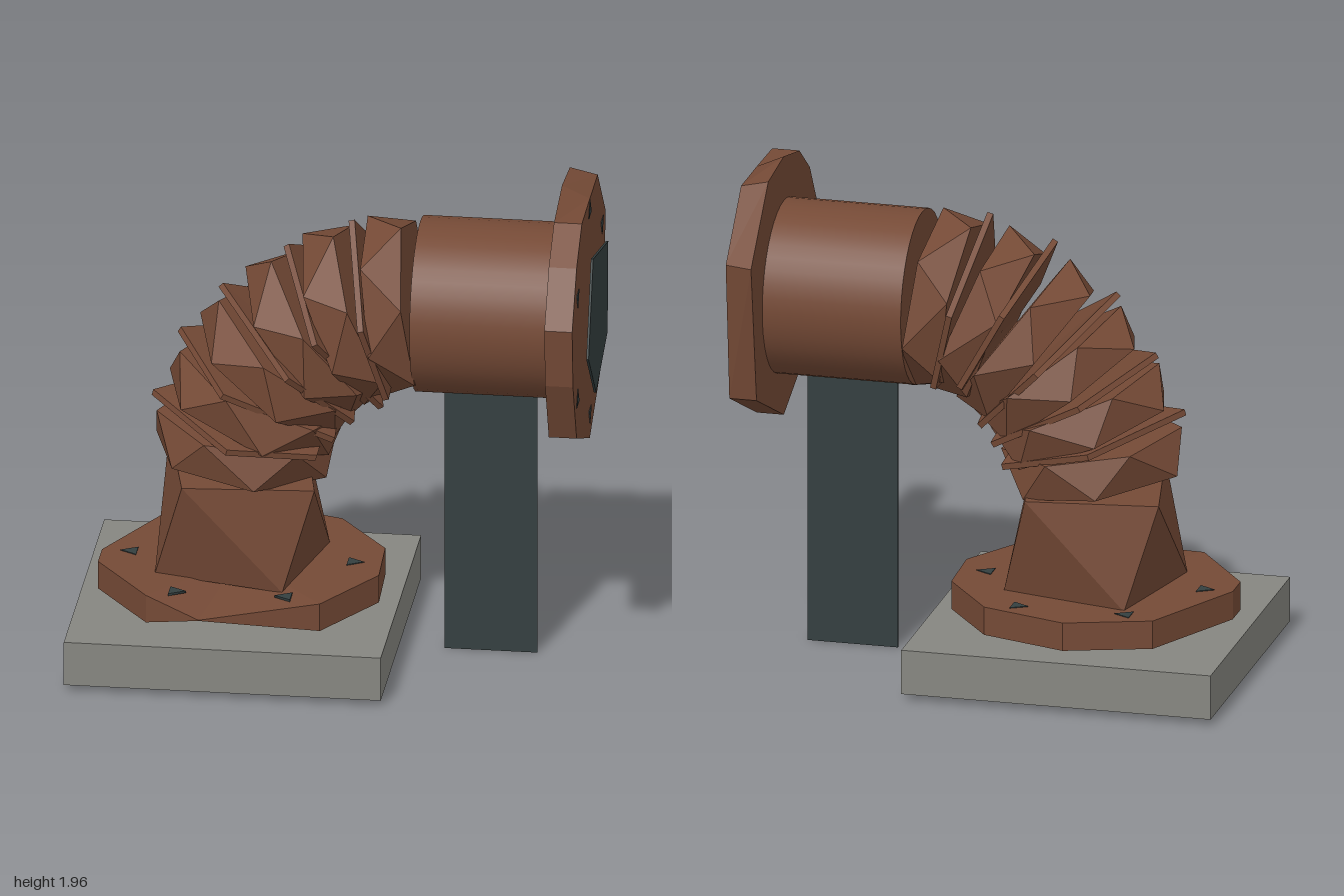
import * as THREE from 'three';

const rust = new THREE.MeshStandardMaterial({ color: 0x754a36 });
rust.name = 'rust brown';
const stone = new THREE.MeshStandardMaterial({ color: 0x868680 });
stone.name = 'concrete grey';
const iron = new THREE.MeshStandardMaterial({ color: 0x343f40 });
iron.name = 'dark iron';

let seed = 7;
const rand = () => (seed = (seed * 16807) % 2147483647) / 2147483647;

// Faceted solid between two rings of [x, z, optional y offset], in order from +x to +z.
// Its diagonals run so that an upper ring turned back towards +x gives a convex twist.
function loft(name, lower, upper, y0, y1, material) {
  const toVec = (ring, y) => ring.map(([x, z, dy = 0]) => new THREE.Vector3(x, y + dy, z));
  const a = toVec(lower, y0), b = toVec(upper, y1), n = a.length;
  const middle = (ring) => ring.reduce((s, p) => s.add(p), new THREE.Vector3()).divideScalar(n);
  const ca = middle(a), cb = middle(b), pts = [];
  for (let i = 0; i < n; i++) {
    const j = (i + 1) % n;
    pts.push(a[i], b[i], b[j], a[i], b[j], a[j], ca, a[i], a[j], cb, b[j], b[i]);
  }
  const geometry = new THREE.BufferGeometry().setFromPoints(pts);
  geometry.computeVertexNormals();
  const mesh = new THREE.Mesh(geometry, material);
  mesh.name = name;
  return mesh;
}

// Irregular polygon ring, its first corner near the outer side of the bend
function roughRing(sides, radius, twist, wobble, lift) {
  return Array.from({ length: sides }, (_, i) => {
    const a = Math.PI + twist + ((i + (i ? (rand() - 0.5) * wobble : 0)) / sides) * Math.PI * 2;
    return [Math.cos(a) * radius, Math.sin(a) * radius, (rand() - 0.5) * lift];
  });
}

// Six three-sided bolts around a flange
function addBolts(group, radius, y) {
  for (let k = 0; k < 6; k++) {
    const a = (k * Math.PI) / 3;
    const bolt = new THREE.Mesh(new THREE.CylinderGeometry(0.043, 0.043, 0.009, 3), iron);
    bolt.name = 'bolt';
    bolt.position.set(Math.cos(a) * radius, y, Math.sin(a) * radius);
    bolt.rotation.y = Math.PI / 2 - a;
    group.add(bolt);
  }
}

function box(name, w, h, d, x, y, material) {
  const mesh = new THREE.Mesh(new THREE.BoxGeometry(w, h, d), material);
  mesh.name = name;
  mesh.position.set(x, y, 0);
  return mesh;
}

export function createModel() {
  const model = new THREE.Group();
  model.name = 'pipeElbow';

  // Ground slab and thin support under the outlet
  model.add(box('baseSlab', 1.23, 0.178, 1.225, -0.385, 0.113, stone));
  model.add(box('supportPlate', 0.36, 1.12, 0.014, 0.58, 0.56, iron));

  // Upright end: flange, bolts and twisted square pipe
  const lower = new THREE.Group();
  lower.name = 'lowerFlange';
  lower.position.x = -0.385;
  const rim = [[0.545, 0.12], [0.355, 0.43], [-0.1, 0.555], [-0.32, 0.43], [-0.545, 0.12],
    [-0.545, 0], [-0.335, -0.42], [-0.005, -0.53], [0.335, -0.42], [0.535, -0.15]];
  const bend = (dy) => rim.map(([x, z], i) => [x, z, i === 2 ? dy : 0]);
  lower.add(loft('flangeDisc', bend(0.07), bend(-0.04), 0.225, 0.338, rust));
  addBolts(lower, 0.43, 0.336);
  lower.add(loft('uprightPipe',
    [[0.195, 0.32], [-0.315, 0.195], [-0.195, -0.32], [0.315, -0.195]],
    [[0.315, 0.28], [-0.195, 0.32], [-0.315, -0.25], [0.2, -0.32]], 0.33, 0.745, rust));
  model.add(lower);

  // Quarter bend: thick segments with thin jagged washers between them
  const elbow = new THREE.Group();
  elbow.name = 'elbow';
  const place = (part, degrees) => {
    const t = THREE.MathUtils.degToRad(degrees);
    part.position.set(0.3 - 0.685 * Math.cos(t), 0.745 + 0.685 * Math.sin(t), 0);
    part.rotation.z = -t;
    elbow.add(part);
  };
  for (let i = 0; i < 6; i++) {
    place(loft('elbowSegment', roughRing(6, 0.352, 0.22, 0.15, 0),
      roughRing(6, 0.352, -0.22, 0.15, 0), -0.075, 0.075, rust), 8 + i * 14.9);
    if (i < 5) {
      const ring = roughRing(5, 0.385, (rand() - 0.5) * 0.4, 0.4, 0.05);
      place(loft('elbowWasher', ring, ring, -0.012, 0.012, rust), 15.5 + i * 15);
    }
  }
  model.add(elbow);

  // Level pipe, smooth and round
  const pipe = new THREE.Mesh(new THREE.CylinderGeometry(0.343, 0.343, 0.56, 40), rust);
  pipe.name = 'levelPipe';
  pipe.rotation.z = -Math.PI / 2;
  pipe.position.set(0.585, 1.433, 0);
  pipe.scale.z = 0.965;
  model.add(pipe);

  // Outlet flange, its bolts and the dark opening, built on end and turned to face +x
  const outlet = new THREE.Group();
  outlet.name = 'outletFlange';
  outlet.rotation.z = -Math.PI / 2;
  outlet.position.y = 1.433;
  const turned = (points) => points.map(([z, y]) => [1.433 - y, z]);
  const edge = [[0, 0.905], [0.4, 1.07], [0.51, 1.33], [0.535, 1.57], [0.4, 1.78],
    [0.24, 1.9], [0, 1.955], [-0.24, 1.93], [-0.505, 1.66], [-0.42, 1.1]];
  const face = edge.map(([z, y], i) => [i === 8 ? -0.475 : z, Math.min(y, 1.905)]);
  outlet.add(loft('flangeDisc', turned(edge), turned(face), 0.855, 0.963, rust));
  addBolts(outlet, 0.425, 0.961);
  const mouth = turned([[0.08, 1.13], [0.31, 1.365], [0.17, 1.725], [-0.285, 1.61], [-0.265, 1.24]]);
  outlet.add(loft('opening', mouth, mouth, 0.989, 0.998, iron));
  model.add(outlet);

  return model;
}
